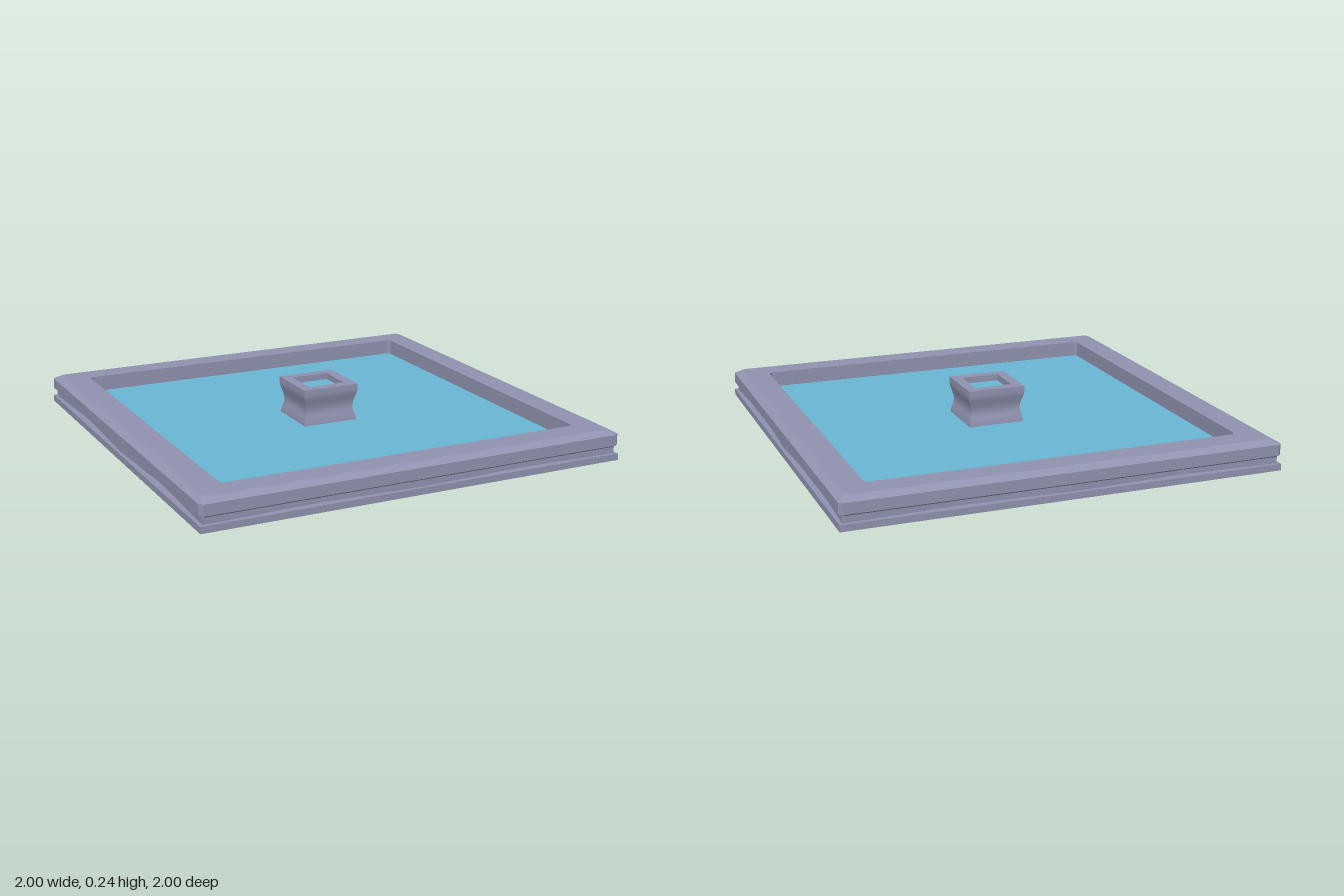
import * as THREE from 'three';

const stone = new THREE.MeshStandardMaterial({ color: 0x9093b0 });
stone.name = 'stone';
const water = new THREE.MeshStandardMaterial({ color: 0x69b6d3 });
water.name = 'water';

// Square ring of points with half width h and cut corners c
function ring(h, c) {
  const k = h - c;
  if (c === 0) return [[-h, h], [h, h], [h, -h], [-h, -h]];
  return [[-k, h], [k, h], [h, k], [h, -k], [k, -h], [-k, -h], [-h, -k], [-h, k]];
}

// Sweeps a [half width, height] profile around a square; each side is its own strip
function squareLoft(profile, c, smooth) {
  const pos = [], idx = [];
  const rings = profile.map(([h]) => ring(h, c));
  const sides = rings[0].length;
  for (let s = 0; s < sides; s++) {
    const start = pos.length / 3;
    profile.forEach(([, y], i) => {
      for (const p of [rings[i][s], rings[i][(s + 1) % sides]]) pos.push(p[0], y, p[1]);
    });
    for (let i = 0; i < profile.length - 1; i++) {
      const a = start + i * 2;
      idx.push(a, a + 1, a + 3, a, a + 3, a + 2);
    }
  }
  let g = new THREE.BufferGeometry();
  g.setAttribute('position', new THREE.Float32BufferAttribute(pos, 3));
  g.setIndex(idx);
  if (!smooth) g = g.toNonIndexed();
  g.computeVertexNormals();
  return g;
}

export function createModel() {
  const group = new THREE.Group();
  const add = (name, geometry, material, y = 0) => {
    const mesh = new THREE.Mesh(geometry, material);
    mesh.name = name;
    mesh.position.y = y;
    group.add(mesh);
    return mesh;
  };

  // Base slab
  add('baseSlab', new THREE.BoxGeometry(2, 0.03, 2), stone, 0.015);

  // Recessed band with gently folded sides
  const outline = [];
  for (let s = 0; s < 4; s++) {
    const turn = s * Math.PI / 2;
    [[-0.985, 0.985], [-0.5, 0.965], [0, 0.985], [0.5, 0.965]].forEach(([u, d]) => {
      outline.push(new THREE.Vector2(
        d * Math.cos(turn) - u * Math.sin(turn),
        d * Math.sin(turn) + u * Math.cos(turn)));
    });
  }
  const bandShape = new THREE.Shape(outline);
  bandShape.holes.push(new THREE.Path(ring(0.9, 0).map(([x, y]) => new THREE.Vector2(x, y))));
  const band = new THREE.ExtrudeGeometry(bandShape, { depth: 0.037, bevelEnabled: false });
  band.rotateX(-Math.PI / 2);
  add('recessedBand', band, stone, 0.029);

  // Bevelled rim around the pool
  add('rim', squareLoft([
    [0.9, 0.06], [0.985, 0.06], [1, 0.07], [1, 0.12],
    [0.965, 0.14], [0.852, 0.14], [0.852, 0.05],
  ], 0.015, false), stone);

  // Pool surface
  const pool = new THREE.PlaneGeometry(1.72, 1.72).rotateX(-Math.PI / 2);
  add('poolWater', pool, water, 0.066);

  // Central spout with a curved waist
  const curve = new THREE.SplineCurve([
    [0.134, 0.064], [0.13, 0.09], [0.121, 0.125], [0.123, 0.155], [0.133, 0.19], [0.137, 0.21], [0.137, 0.24],
  ].map(([x, y]) => new THREE.Vector2(x, y)));
  add('spoutBody', squareLoft(curve.getPoints(16).map((p) => [p.x, p.y]), 0, true), stone);
  add('spoutLip', squareLoft([[0.137, 0.24], [0.09, 0.24], [0.09, 0.19]], 0, false), stone);

  // Water inside the spout
  const spoutWater = new THREE.PlaneGeometry(0.18, 0.18).rotateX(-Math.PI / 2);
  add('spoutWater', spoutWater, water, 0.21);

  return group;
}
